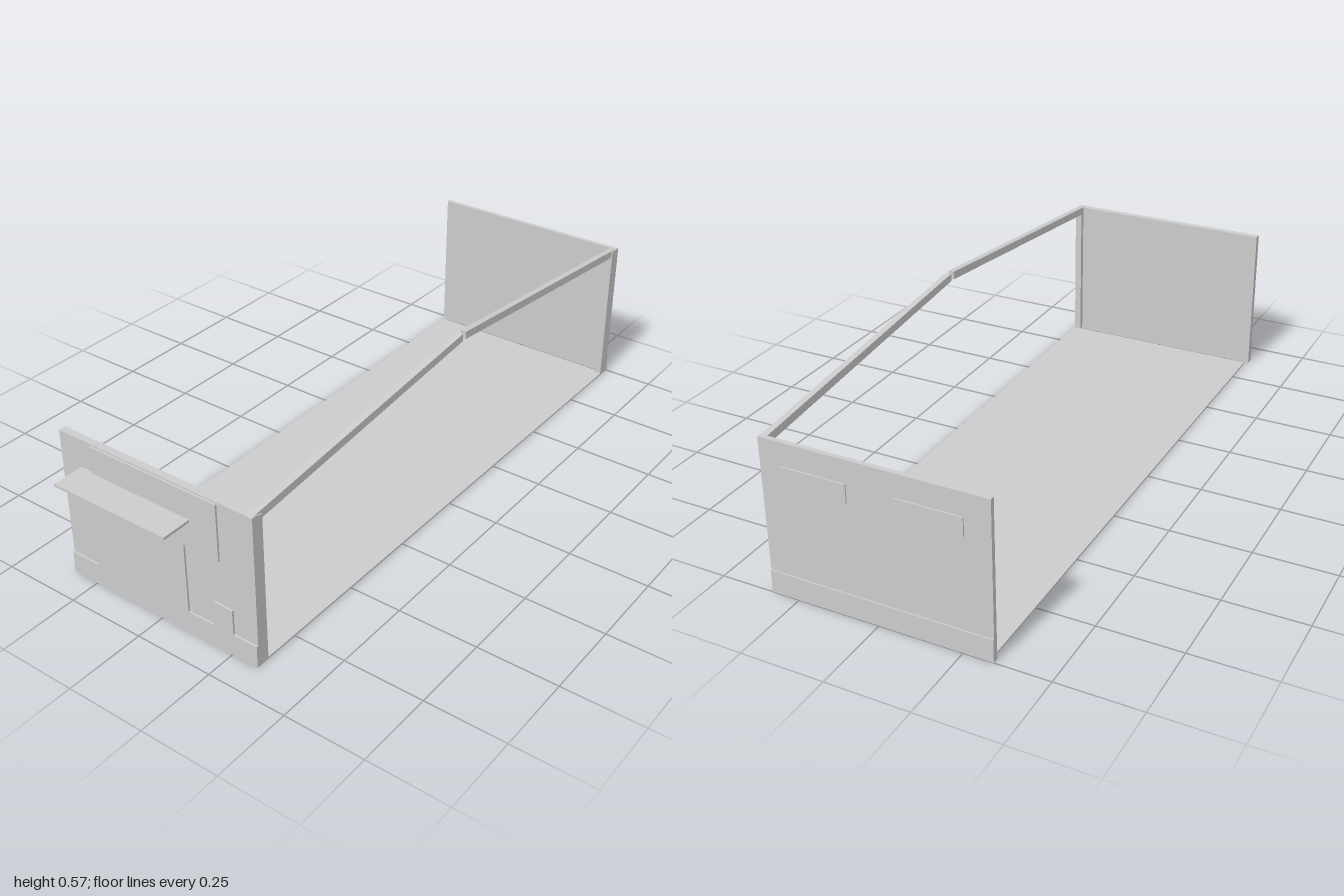
import * as THREE from 'three';

export function createModel() {
  const model = new THREE.Group();
  const grey = new THREE.MeshStandardMaterial({ color: 0xcccccc });
  grey.name = 'plain grey';

  const add = (name, geometry) => {
    const mesh = new THREE.Mesh(geometry, grey);
    mesh.name = name;
    model.add(mesh);
    return mesh;
  };

  // Box given by its limits on each axis
  const box = (name, x0, x1, y0, y1, z0, z1) =>
    add(name, new THREE.BoxGeometry(x1 - x0, y1 - y0, z1 - z0))
      .position.set((x0 + x1) / 2, (y0 + y1) / 2, (z0 + z1) / 2);

  const extrude = (points, depth) => new THREE.ExtrudeGeometry(
    new THREE.Shape(points.map(([x, y]) => new THREE.Vector2(x, y))),
    { depth, bevelEnabled: false });

  const L = -0.338, R = 0.336, H = 0.475, IN = 0.314;

  // Floor, with narrow gaps before the end walls
  box('floor', -0.328, R, 0, 0.006, -0.968, 0.862);

  // End walls
  box('frontWall', L, R, 0, H, 0.878, 0.9);
  box('backWall', L, R, 0, H, -0.996, -0.982);

  // Raised facade outline: plinth, entrance and small block
  const facade = [
    [L, 0], [R, 0], [R, 0.07], [0.257, 0.07], [0.257, 0.15], [0.19, 0.15],
    [0.19, 0.07], [0.1, 0.07], [0.1, 0.293], [0.22, 0.293], [0.22, 0.47],
    [-0.22, 0.47], [-0.22, 0.34], [-0.236, 0.34], [-0.236, 0.07], [L, 0.07],
  ];
  add('frontFacade', extrude(facade, 0.006)).position.z = 0.9;

  // Canopy over the entrance
  box('canopy', -0.265, 0.128, 0.377, 0.385, 0.9, 1);

  // Plinth and two raised panels on the back
  box('backPlinth', L, R, 0, 0.07, -1, -0.996);
  box('backPanelLeft', 0.075, 0.27, 0.35, 0.405, -1, -0.996);
  box('backPanelRight', -0.262, -0.067, 0.35, 0.405, -1, -0.996);

  // Corner posts on the left side
  box('frontPost', IN, R, 0, H - 0.004, 0.862, 0.878);
  box('backPost', IN, R, 0, H, -0.982, -0.955);

  // Sloping rails meeting at a small gap
  const rail = (name, zEnd, zTop) => {
    const points = [[-zEnd, 0.45], [-zTop, 0.546], [-zTop, 0.57], [-zEnd, H]];
    const mesh = add(name, extrude(points, 0.019));
    mesh.rotation.y = Math.PI / 2;
    mesh.position.x = IN;
  };
  rail('frontRail', 0.9, -0.04);
  rail('backRail', -0.99, -0.055);

  return model;
}
